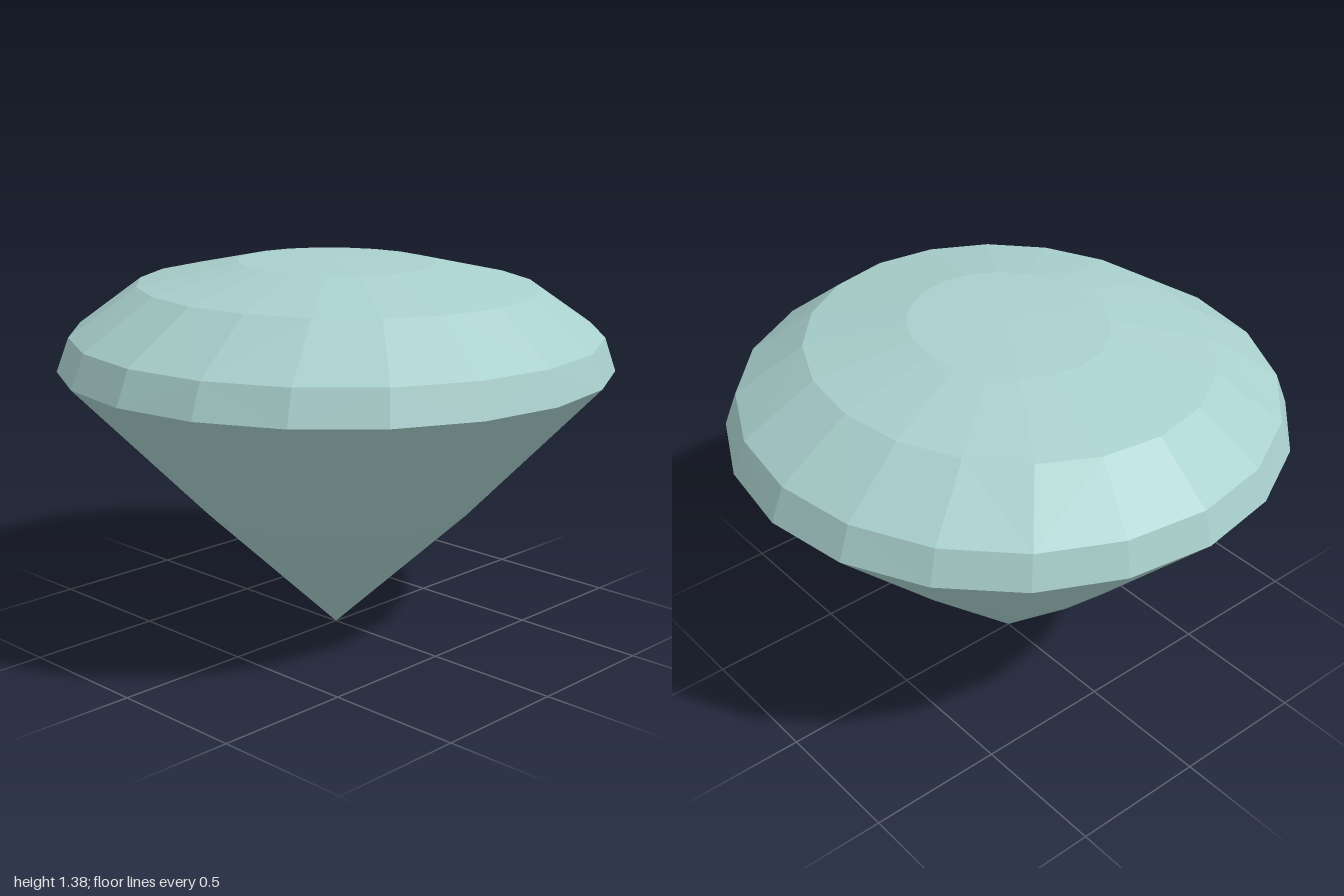
import * as THREE from 'three';

const SIDES = 20;

// Rings from the top down: half-width in x, half-depth in z, height
const TABLE = [0.37, 0.34, 1.37];
const STAR = [0.75, 0.69, 1.29];
const BEZEL = [0.965, 0.95, 1.12];
const GIRDLE = [1, 1, 1];
const LOWER = [0.52, 0.505, 0.49];

function point([rx, rz, y], i) {
  const a = (i / SIDES) * Math.PI * 2;
  return [rx * Math.cos(a), y, rz * Math.sin(a)];
}

// Band between two rings; evenOnTop picks the ring whose even corners start the diagonals
function band(out, top, bottom, evenOnTop) {
  for (let i = 0; i < SIDES; i++) {
    const t0 = point(top, i), t1 = point(top, i + 1);
    const b0 = point(bottom, i), b1 = point(bottom, i + 1);
    if ((i % 2 === 0) === evenOnTop) out.push(t0, t1, b1, t0, b1, b0);
    else out.push(t0, t1, b0, t1, b1, b0);
  }
}

// Fan closing a ring to a point on the axis
function fan(out, ring, tipY, up) {
  const tip = [0, tipY, 0];
  for (let i = 0; i < SIDES; i++) {
    const a = point(ring, i), b = point(ring, i + 1);
    if (up) out.push(tip, b, a);
    else out.push(tip, a, b);
  }
}

function facetMesh(name, corners, material) {
  const geometry = new THREE.BufferGeometry();
  geometry.setAttribute('position', new THREE.Float32BufferAttribute(corners.flat(), 3));
  geometry.computeVertexNormals();
  const mesh = new THREE.Mesh(geometry, material);
  mesh.name = name;
  return mesh;
}

export function createModel() {
  const group = new THREE.Group();
  group.name = 'gem';
  const material = new THREE.MeshStandardMaterial({ color: 0xa9d0cd, flatShading: true });

  // Crown: shallow table, star facets, main facets and girdle triangles
  const table = [];
  fan(table, TABLE, 1.38, true);
  group.add(facetMesh('table', table, material));

  const crown = [];
  band(crown, TABLE, STAR, true);
  band(crown, STAR, BEZEL, false);
  band(crown, BEZEL, GIRDLE, true);
  group.add(facetMesh('crown', crown, material));

  // Pavilion: long facets tapering to the bottom point
  const pavilion = [];
  band(pavilion, GIRDLE, LOWER, false);
  fan(pavilion, LOWER, 0, false);
  group.add(facetMesh('pavilion', pavilion, material));

  return group;
}
